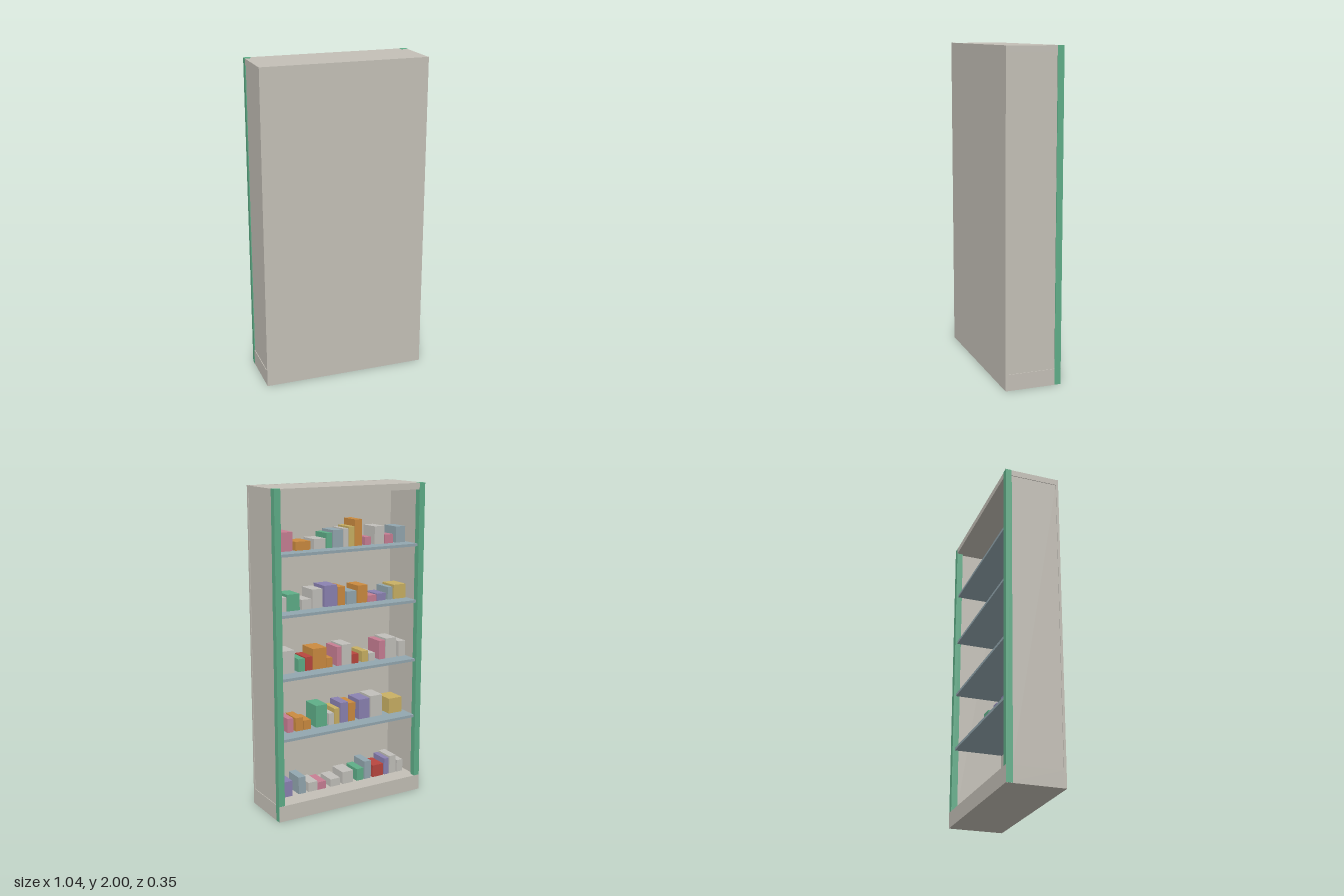
import * as THREE from 'three';

const material = (name, color) => {
  const m = new THREE.MeshStandardMaterial({ color });
  m.name = name;
  return m;
};

const mats = {
  wall: material('warm grey', 0xc4c0b7),
  green: material('green', 0x5fae88),
  slate: material('blue grey', 0x93a7af),
  grey: material('light grey', 0xc2c0bb),
  pink: material('pink', 0xc87f94),
  orange: material('orange', 0xcb8b40),
  yellow: material('yellow', 0xc9b064),
  purple: material('purple', 0x8b82b2),
  red: material('red', 0xb9463f),
};

// Box given by its lower and upper limits on each axis
function box(parent, name, mat, [x0, x1], [y0, y1], [z0, z1]) {
  const mesh = new THREE.Mesh(new THREE.BoxGeometry(x1 - x0, y1 - y0, z1 - z0), mats[mat]);
  mesh.position.set((x0 + x1) / 2, (y0 + y1) / 2, (z0 + z1) / 2);
  mesh.name = name;
  parent.add(mesh);
}

// Row of books standing on a board: [colour, left edge, width, height]
function stockShelf(parent, y, books) {
  const row = new THREE.Group();
  row.name = 'bookRow';
  for (const [mat, x, w, h] of books)
    box(row, 'book', mat, [x - w, x], [y, y + h], [-0.06, 0.07]);
  parent.add(row);
}

export function createModel() {
  const model = new THREE.Group();
  model.name = 'bookcase';
  const W = 0.517, D = 0.175;

  // Carcass
  box(model, 'frontPanel', 'wall', [-W, W], [0, 2], [0.16, D]);
  box(model, 'topBoard', 'wall', [-W, W], [1.96, 1.999], [-D + 0.002, 0.16]);
  box(model, 'plinth', 'wall', [-W, W], [0, 0.1], [-D, 0.16]);
  for (const s of [-1, 1]) {
    const span = (a, b) => [Math.min(s * a, s * b), Math.max(s * a, s * b)];
    box(model, 'sidePanel', 'wall', span(0.494, 0.513), [0.1, 1.96], [-0.135, 0.16]);
    box(model, 'cornerPost', 'green', span(0.478, W + 0.001), [0.001, 2], [-D + 0.001, -0.135]);
  }

  // Shelf boards
  const shelves = [0.516, 0.891, 1.272, 1.628];
  for (const y of shelves)
    box(model, 'shelf', 'slate', [-0.478, 0.478], [y - 0.017, y], [-0.16, 0.16]);

  // Books, from the bottom row to the top
  stockShelf(model, 0.1, [
    ['purple', 0.455, 0.09, 0.1], ['slate', 0.32, 0.05, 0.11], ['grey', 0.25, 0.065, 0.06],
    ['pink', 0.185, 0.06, 0.05], ['grey', 0.09, 0.07, 0.05], ['grey', 0, 0.08, 0.08],
    ['green', -0.107, 0.05, 0.08], ['slate', -0.165, 0.05, 0.12], ['red', -0.23, 0.08, 0.08],
    ['purple', -0.32, 0.035, 0.11], ['grey', -0.36, 0.05, 0.12], ['grey', -0.42, 0.045, 0.08],
  ]);
  stockShelf(model, shelves[0], [
    ['pink', 0.393, 0.04, 0.09], ['orange', 0.336, 0.05, 0.085], ['orange', 0.28, 0.05, 0.06],
    ['green', 0.193, 0.08, 0.14], ['grey', 0.1, 0.035, 0.075], ['yellow', 0.06, 0.035, 0.1],
    ['purple', 0.015, 0.055, 0.13], ['orange', -0.043, 0.05, 0.12], ['purple', -0.12, 0.08, 0.13],
    ['grey', -0.207, 0.09, 0.14], ['yellow', -0.35, 0.1, 0.1],
  ]);
  stockShelf(model, shelves[1], [
    ['grey', 0.42, 0.08, 0.14], ['green', 0.314, 0.045, 0.08], ['red', 0.265, 0.05, 0.085],
    ['orange', 0.212, 0.095, 0.13], ['orange', 0.115, 0.04, 0.06], ['pink', 0.043, 0.035, 0.12],
    ['grey', 0.007, 0.07, 0.13], ['red', -0.066, 0.05, 0.06], ['yellow', -0.14, 0.045, 0.07],
    ['grey', -0.193, 0.045, 0.05], ['pink', -0.27, 0.045, 0.12], ['grey', -0.32, 0.08, 0.13],
    ['grey', -0.42, 0.05, 0.1],
  ]);
  stockShelf(model, shelves[2], [
    ['grey', 0.443, 0.055, 0.085], ['green', 0.385, 0.085, 0.1], ['grey', 0.286, 0.065, 0.06],
    ['grey', 0.214, 0.07, 0.115], ['purple', 0.13, 0.09, 0.13], ['orange', 0.036, 0.05, 0.115],
    ['slate', -0.028, 0.07, 0.08], ['orange', -0.107, 0.07, 0.11], ['pink', -0.18, 0.065, 0.04],
    ['purple', -0.25, 0.065, 0.045], ['slate', -0.33, 0.035, 0.08], ['yellow', -0.375, 0.09, 0.09],
  ]);
  stockShelf(model, shelves[3], [
    ['pink', 0.443, 0.1, 0.112], ['orange', 0.325, 0.1, 0.052], ['grey', 0.2, 0.08, 0.06],
    ['green', 0.114, 0.038, 0.09], ['slate', 0.071, 0.07, 0.105], ['grey', -0.005, 0.033, 0.11],
    ['yellow', -0.043, 0.038, 0.12], ['orange', -0.086, 0.05, 0.16], ['pink', -0.157, 0.043, 0.05],
    ['grey', -0.228, 0.07, 0.11], ['pink', -0.305, 0.06, 0.055], ['slate', -0.385, 0.07, 0.1],
  ]);

  return model;
}
